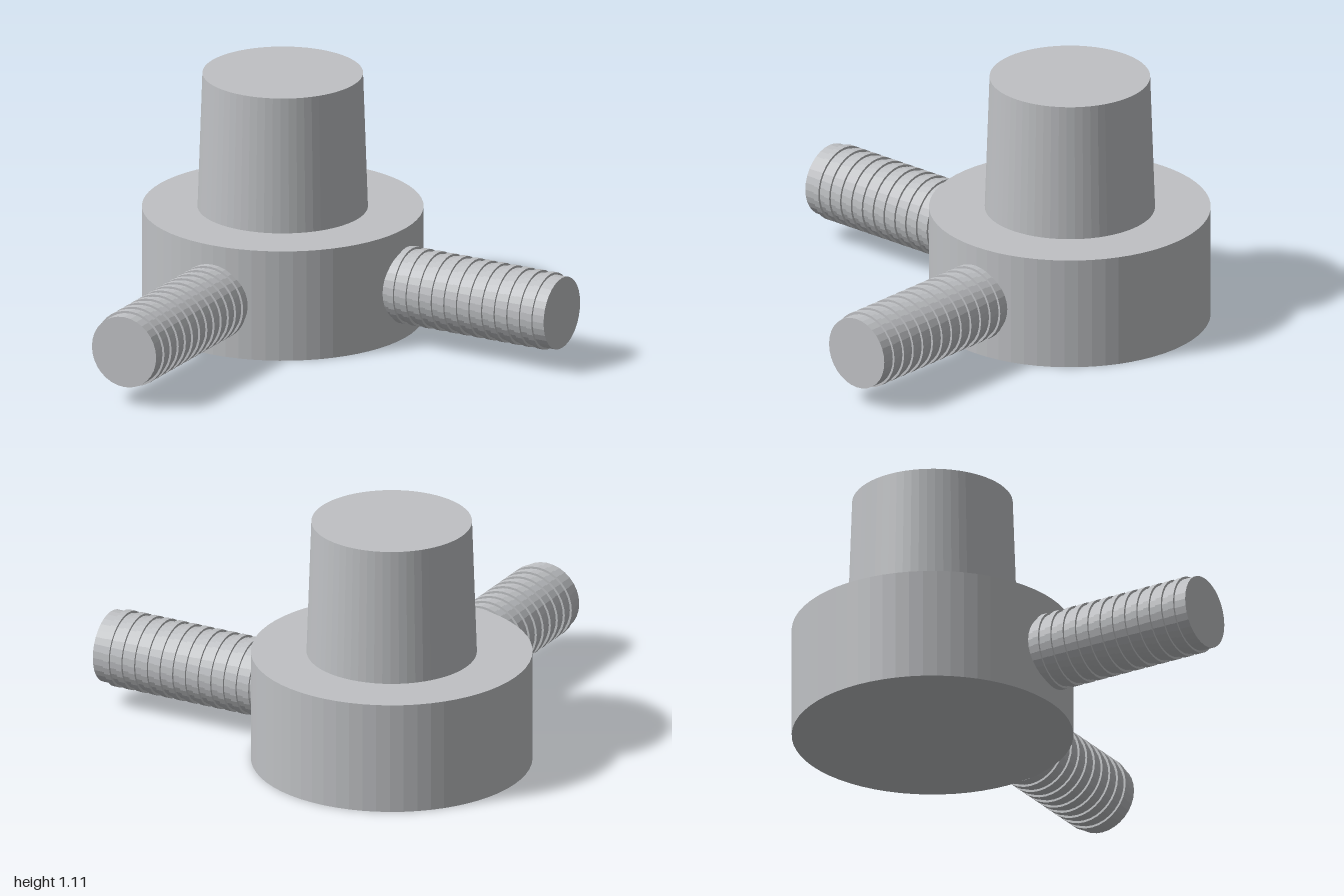
import * as THREE from 'three';

const CENTER = -0.39; // shared x and z of the body axis

export function createModel() {
  const grey = new THREE.MeshStandardMaterial({ color: 0xbfc1c4, flatShading: true });
  grey.name = 'light grey';
  const model = new THREE.Group();
  model.name = 'valve';

  const add = (name, geometry, y) => {
    const mesh = new THREE.Mesh(geometry, grey);
    mesh.name = name;
    mesh.position.set(CENTER, y, CENTER);
    model.add(mesh);
    return mesh;
  };

  // Round body and the slightly tapered knob on top
  add('body', new THREE.CylinderGeometry(0.61, 0.61, 0.5, 64), 0.25);
  add('knob', new THREE.CylinderGeometry(0.348, 0.369, 0.61, 64), 0.805);

  // Ribbed hose profile, measured outward from the body axis
  const core = 0.16, rib = 0.17, pitch = 0.0627, ribWidth = 0.029;
  const profile = [[0, 0.5], [core, 0.5]];
  for (let i = 0; i < 12; i++) {
    const start = 0.616 + i * pitch;
    const end = start + ribWidth;
    profile.push([core, start], [rib, start], [rib, end], [core, end]);
  }
  profile.push([core, 1.39], [0, 1.39]);
  const hose = new THREE.LatheGeometry(profile.map(([r, d]) => new THREE.Vector2(r, d)), 32);

  // Two hoses at right angles: one to the left, one to the front
  add('leftHose', hose, 0.245).rotation.z = -Math.PI / 2;
  add('frontHose', hose, 0.245).rotation.x = Math.PI / 2;

  return model;
}
